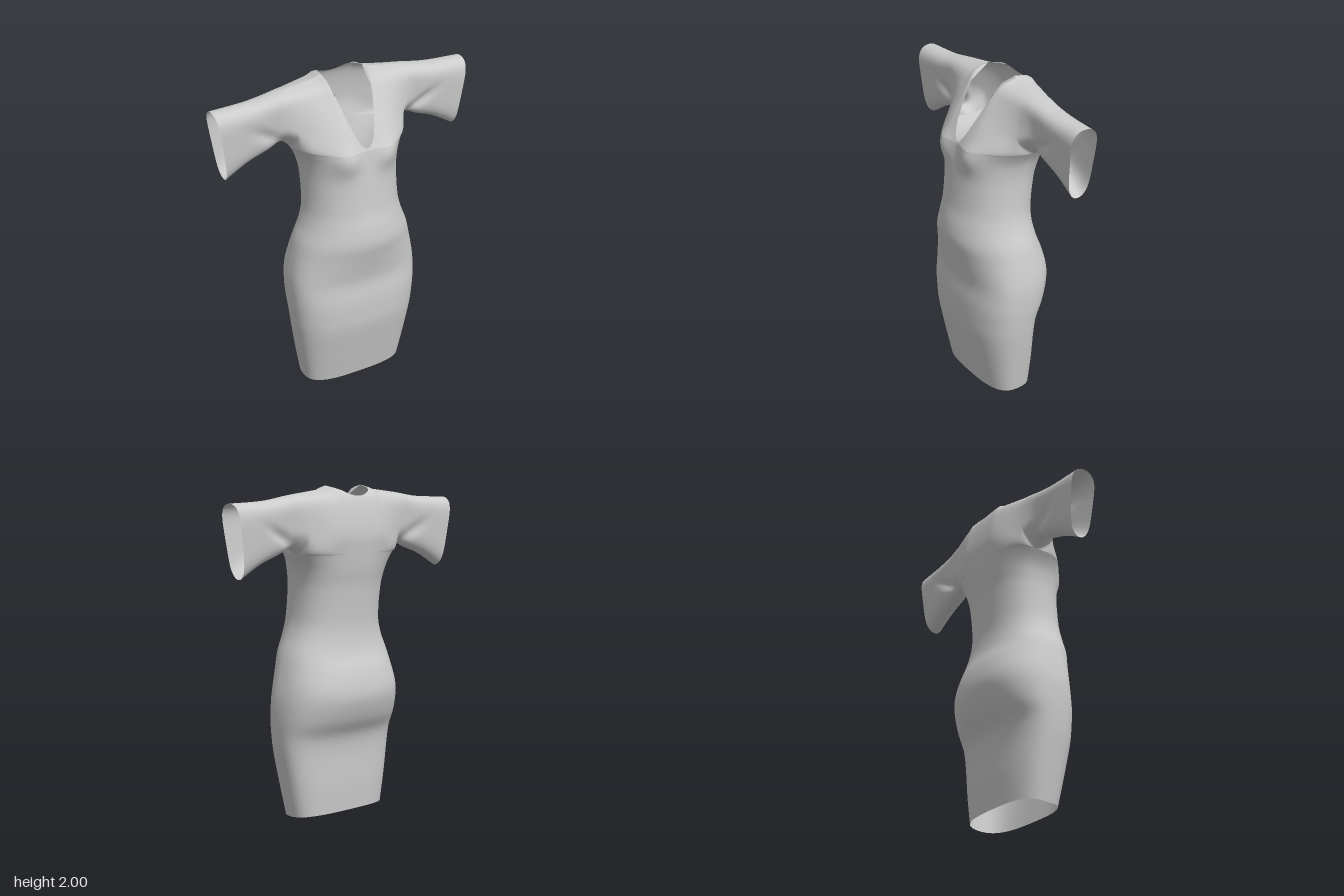
import * as THREE from 'three';
import { mergeGeometries, mergeVertices } from 'three/addons/utils/BufferGeometryUtils.js';

const { lerp, smoothstep } = THREE.MathUtils;
const SEAM = 1.6, ARM = 0.36, NECK = 0.14, MID = -0.085, END = 0.84;

// Smooth lookup in rows of [key, value, value...]
function lookup(table, x, c = 1) {
  const last = table.length - 1;
  if (x <= table[0][0]) return table[0][c];
  if (x >= table[last][0]) return table[last][c];
  let i = 0;
  while (x > table[i + 1][0]) i++;
  const slope = (k) => {
    const a = table[Math.max(k - 1, 0)], b = table[Math.min(k + 1, last)];
    return (b[c] - a[c]) / (b[0] - a[0]);
  };
  const [p, q] = [table[i], table[i + 1]], d = q[0] - p[0], t = (x - p[0]) / d;
  const t2 = t * t, t3 = t2 * t;
  return (2 * t3 - 3 * t2 + 1) * p[c] + (t3 - 2 * t2 + t) * d * slope(i)
    + (3 * t2 - 2 * t3) * q[c] + (t3 - t2) * d * slope(i + 1);
}

// Body: height, half width, front z, back z, side z, front and back squareness
const BODY = [
  [0, 0.335, 0.15, -0.15, 0, 3, 3],
  [0.2, 0.37, 0.195, -0.16, 0.01, 2.8, 2.9],
  [0.4, 0.402, 0.238, -0.165, 0.02, 2.6, 2.8],
  [0.5, 0.413, 0.245, -0.185, 0.02, 2.6, 2.7],
  [0.6, 0.42, 0.245, -0.245, 0.02, 2.6, 2.6],
  [0.72, 0.42, 0.237, -0.287, 0.02, 2.5, 2.5],
  [0.8, 0.41, 0.25, -0.288, 0.02, 2.3, 2.5],
  [0.9, 0.39, 0.273, -0.265, 0.02, 2.1, 2.4],
  [1.0, 0.365, 0.295, -0.225, 0.02, 2, 2.4],
  [1.1, 0.325, 0.287, -0.206, 0.02, 2, 2.4],
  [1.2, 0.3, 0.265, -0.205, 0.01, 2.1, 2.4],
  [1.4, 0.294, 0.243, -0.225, -0.03, 2.3, 2.4],
  [1.5, 0.308, 0.232, -0.245, -0.06, 2.4, 2.4],
  [1.55, 0.328, 0.226, -0.253, -0.075, 2.4, 2.4],
  [SEAM, ARM, 0.22, -0.26, MID, 2.4, 2.4],
];
// Yoke: share of height, front z, back z
const YOKE = [
  [0, 0.22, -0.26], [0.25, 0.178, -0.27], [0.5, 0.12, -0.262], [0.75, 0.06, -0.242],
  [0.87, 0.028, -0.22], [0.95, -0.015, -0.18], [1, MID, MID],
];
// Shoulder line and underarm line: distance from the centre, height
const TOP = [[0.14, 2], [0.17, 1.985], [0.22, 1.975], [0.4, 1.952], [0.6, 1.922], [END, 1.912]];
const UNDER = [[ARM, SEAM], [0.42, 1.64], [0.52, 1.605], [0.66, 1.56], [END, 1.48]];

const bulge = (s, n) => Math.pow(Math.max(0, 1 - Math.pow(Math.abs(s), n)), 1 / n);
const bust = (x, y) =>
  0.045 * Math.exp(-(((Math.abs(x) - 0.15) / 0.09) ** 2) - ((y - 1.555) / 0.09) ** 2);

// Skirt and bodice: s runs across from -1 to 1
function bodyPoint(s, v, front) {
  const y = SEAM * v, get = (c) => lookup(BODY, y, c);
  const x = get(1) * s, mid = get(4);
  let z = mid + (get(front ? 2 : 3) - mid) * bulge(s, get(front ? 5 : 6));
  if (front) z += bust(x, y) * bulge(s, 2.4);
  const hem = front ? 0 : 0.018 * Math.max(0, 1 - v * 10) * bulge(s, 3);
  return [x, y + hem, z];
}

// Yoke and sleeves: each column is a slice at distance a from the centre
function yokePoint(col, v, front) {
  const a = Math.abs(col), side = Math.sign(col);
  const base = a > ARM ? lookup(UNDER, a) : SEAM, top = lookup(TOP, a);
  let h = (1 - Math.cos(Math.PI * v)) / 2;
  if (a < NECK - 1e-6) {
    // neckline: deep plunge in front, shallow scoop behind
    const r = (a / NECK) ** 2;
    h *= (front ? 0.01 + 0.39 * r : 0.34 + 0.06 * r) / (top - SEAM);
  }
  const y = lerp(base, top, h);
  const round = Math.sqrt(Math.max(0, 1 - Math.pow(Math.abs(2 * h - 1), 4.8)));
  const sleeve = MID + (front ? 1 : -1) * lerp(0.066, 0.094, h) * round;
  const seamShare = a < ARM ? bulge(a / ARM, 2.4) : 0;
  const k = lerp(seamShare, 1 - smoothstep(a, 0.12, 0.5), smoothstep(h, 0, 0.35));
  let z = lerp(sleeve, lookup(YOKE, h, front ? 1 : 2), k);
  if (front) z += bust(a, y) * (a < ARM ? bulge(a / ARM, 2.4) : 0);
  // soft fold running out from the underarm
  if (a > ARM) {
    const line = y - (1.66 + 0.5 * (a - 0.42));
    z -= (front ? 1 : -1) * 0.02 * round * Math.exp(-((line / 0.035) ** 2) - ((a - 0.52) / 0.1) ** 2);
  }
  const u = Math.max(0, (a - ARM) / (END - ARM));
  return [side * (a - 0.06 * (1 - h) * u * u), y, z];
}

// Grid of cloth over the given columns, facing forward or backward
function panel(cols, rows, point, front) {
  const geo = new THREE.PlaneGeometry(1, 1, cols.length - 1, rows);
  const pos = geo.attributes.position;
  for (let j = 0, n = 0; j <= rows; j++)
    for (const c of cols) pos.setXYZ(n++, ...point(c, 1 - j / rows, front));
  if (!front) geo.setIndex(Array.from(geo.index.array).reverse());
  geo.deleteAttribute('uv');
  geo.deleteAttribute('normal');
  return geo;
}

export function createModel() {
  // Columns from the centre to the side, with one exactly at the neck edge
  const half = [], neckAngle = Math.asin(NECK / ARM);
  for (let i = 1; i <= 8; i++) half.push(Math.sin((neckAngle * i) / 8));
  for (let i = 1; i <= 18; i++) half.push(Math.sin(lerp(neckAngle, Math.PI / 2, i / 18)));
  const mirror = (list) => [...list.map((c) => -c).reverse(), 0, ...list];
  const wide = half.map((s) => s * ARM);
  for (let i = 1; i <= 24; i++) wide.push(lerp(ARM, END, Math.pow(i / 24, 1.3)));

  const parts = [];
  for (const front of [true, false]) {
    parts.push(panel(mirror(half), 72, bodyPoint, front));
    parts.push(panel(mirror(wide), 32, yokePoint, front));
  }
  // Joined into one cloth so that shading flows over the seams
  const cloth = mergeVertices(mergeGeometries(parts), 1e-5);
  cloth.computeVertexNormals();

  const dress = new THREE.Mesh(
    cloth,
    new THREE.MeshStandardMaterial({ color: 0xcccccc, side: THREE.DoubleSide }),
  );
  dress.name = 'dress';
  const group = new THREE.Group();
  group.name = 'shortSleevedDress';
  group.add(dress);
  return group;
}
